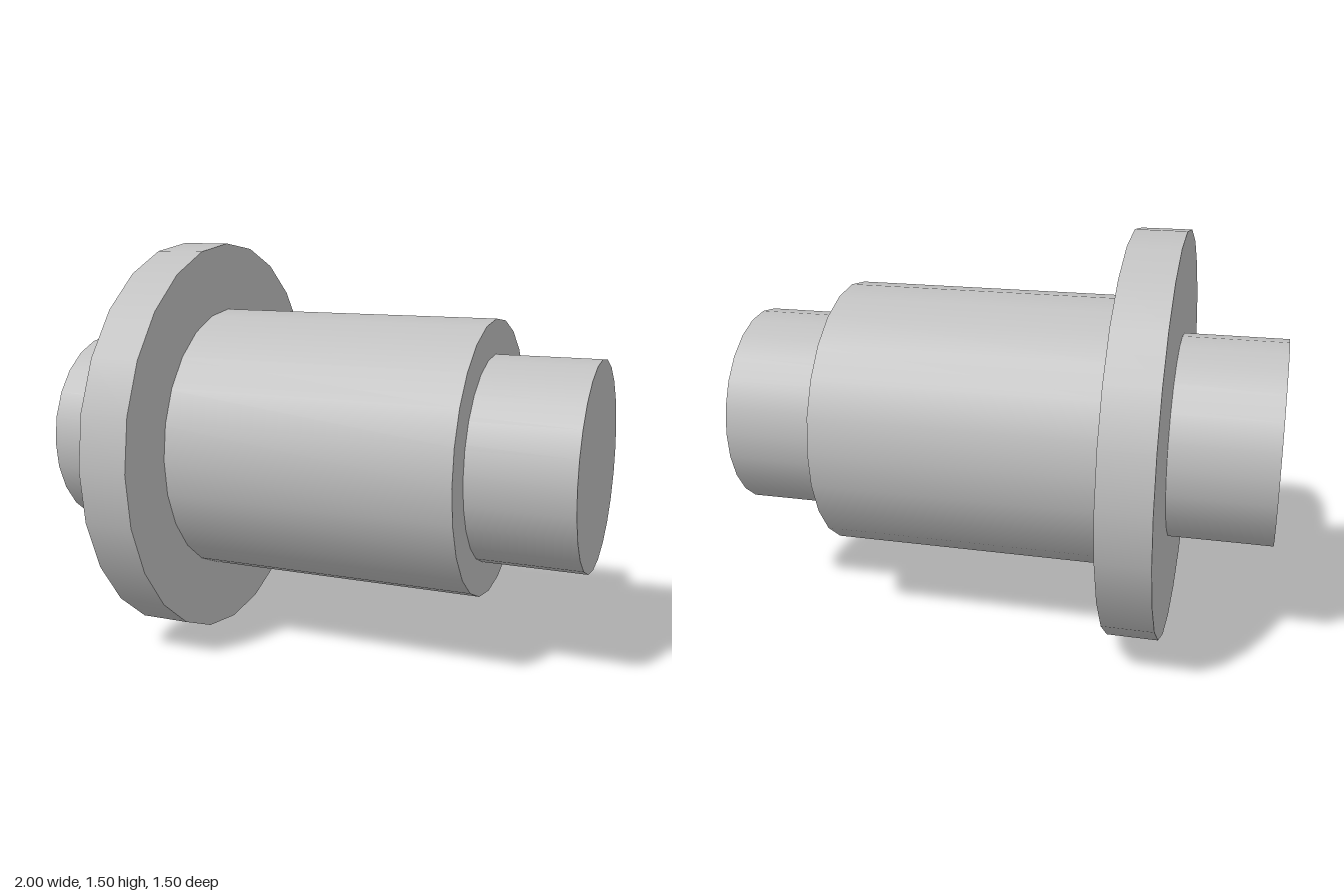
import * as THREE from 'three';

const SIDES = 24;
const AXIS_HEIGHT = 0.75;

export function createModel() {
  const model = new THREE.Group();
  model.name = 'flangedRoller';

  const steel = new THREE.MeshStandardMaterial({ color: 0xc0c0c0 });
  steel.name = 'steel grey';

  // A round section lying along x, from x0 to x1
  const section = (name, radius, x0, x1) => {
    const geometry = new THREE.CylinderGeometry(radius, radius, x1 - x0, SIDES);
    geometry.rotateZ(-Math.PI / 2);
    const mesh = new THREE.Mesh(geometry, steel);
    mesh.name = name;
    mesh.position.set((x0 + x1) / 2, AXIS_HEIGHT, 0);
    model.add(mesh);
  };

  // Axle running through the whole roller
  section('axle', 0.375, -1, 1);
  // Wide disc at the right end
  section('flange', 0.75, -0.625, -0.44);
  // Main drum, seated slightly inside the flange
  section('drum', 0.5, -0.5, 0.625);

  return model;
}
